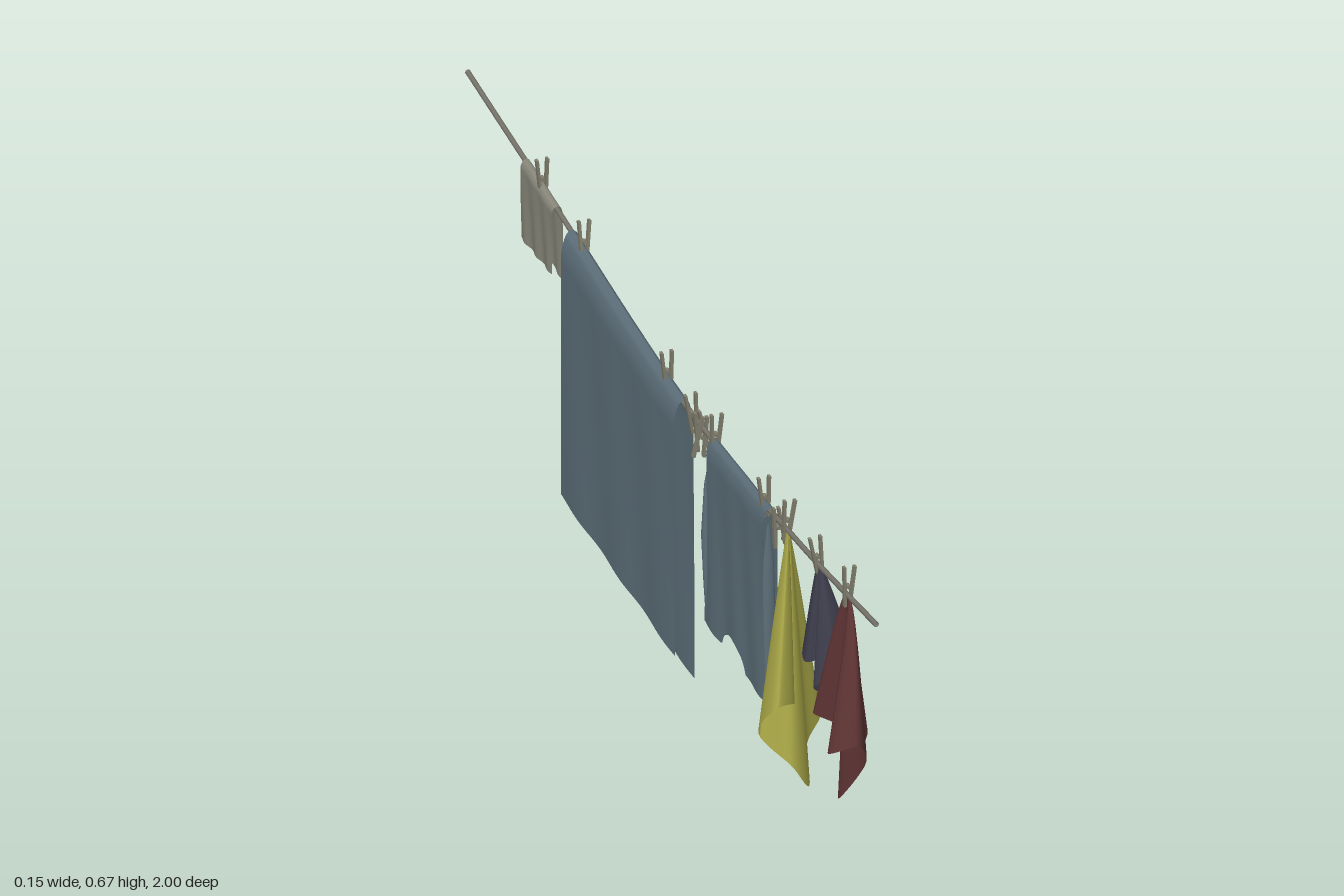
import * as THREE from 'three';

const mat = (name, color) =>
  Object.assign(new THREE.MeshStandardMaterial({ color, side: THREE.DoubleSide }), { name });

// Rope height along z
const ROPE = [[1, 0.64], [0.86, 0.622], [0.72, 0.605], [0.56, 0.59], [0.45, 0.58], [0.21, 0.57], [0.1, 0.566],
  [-0.02, 0.57], [-0.2, 0.582], [-0.43, 0.603], [-0.63, 0.62], [-1, 0.65]];
function ropeY(z) {
  for (let i = 1; i < ROPE.length; i++) {
    const [za, ya] = ROPE[i - 1], [zb, yb] = ROPE[i];
    if (z >= zb) return ya + (yb - ya) * (za - z) / (za - zb);
  }
  return 0.65;
}

// Grid surface: point(u, v) for u, v in 0..1
function surface(nu, nv, point) {
  const pos = [], idx = [];
  for (let j = 0; j <= nv; j++) {
    for (let i = 0; i <= nu; i++) pos.push(...point(i / nu, j / nv));
  }
  for (let j = 0; j < nv; j++) {
    for (let i = 0; i < nu; i++) {
      const a = j * (nu + 1) + i, b = a + nu + 1;
      idx.push(a, b, a + 1, a + 1, b, b + 1);
    }
  }
  const g = new THREE.BufferGeometry();
  g.setAttribute('position', new THREE.Float32BufferAttribute(pos, 3));
  g.setIndex(idx);
  g.computeVertexNormals();
  return g;
}

// Cloth folded over the rope: v runs up the back, over, and down the front
function foldedCloth({ z0, z1, front, back, xFront, xBack, widen = () => 0 }) {
  return surface(48, 48, (u, v) => {
    const s = v * 2 - 1, a = Math.abs(s);
    const z = z0 + (z1 - z0) * u;
    const top = ropeY(z) + 0.007;
    const bottom = s > 0 ? front(z) : back(z);
    const drop = Math.pow(a, 1.4);
    const spread = Math.min(1, Math.sqrt(a * 6)) * (s > 0 ? xFront : -xBack);
    const ripple = 0.002 * a * Math.sin(u * 17 + a * 3);
    return [spread + ripple, top + (bottom - top) * drop, z + (u - 0.5) * widen(a)];
  });
}

// Cloth hanging from one pinched point down to a wavy closed hem
function pinchedCloth(zPeg, hem, flare) {
  const curve = new THREE.CatmullRomCurve3(hem.map(p => new THREE.Vector3(...p)), true, 'centripetal');
  const top = ropeY(zPeg) + 0.003, p = new THREE.Vector3();
  return surface(72, 20, (u, v) => {
    curve.getPoint(u % 1, p);
    const kz = 0.12 + 0.88 * Math.pow(v, flare), kx = 0.05 + 0.95 * Math.pow(v, 0.9);
    return [p.x * kx, top + (p.y - top) * v, zPeg + (p.z - zPeg) * kz];
  });
}

export function createModel() {
  const model = new THREE.Group();
  const wood = mat('weathered wood', 0x807d6c);
  const rope = mat('rope', 0x76746a);
  const red = mat('dark red cloth', 0x5c3232);
  const navy = mat('navy cloth', 0x3d3d4c);
  const yellow = mat('yellow cloth', 0xa9a747);
  const blue = mat('grey blue cloth', 0x5d6f7a);
  const beige = mat('beige cloth', 0x88877a);

  const add = (name, geometry, material, parent = model) => {
    const m = new THREE.Mesh(geometry, material);
    m.name = name;
    parent.add(m);
    return m;
  };

  // Rope
  const path = new THREE.CatmullRomCurve3(ROPE.map(([z, y]) => new THREE.Vector3(0, y, z)));
  add('rope', new THREE.TubeGeometry(path, 60, 0.005, 8), rope);

  // Pinched cloths
  add('redCloth', pinchedCloth(0.86, [
    [-0.075, 0.37, 0.96], [-0.03, 0.39, 0.99], [0.0, 0.33, 0.95], [-0.03, 0.23, 0.89], [0.01, 0.28, 0.865],
    [0.05, 0.32, 0.825], [0.015, 0.345, 0.805], [-0.05, 0.37, 0.82], [-0.01, 0.36, 0.88]], 0.65), red);
  add('navyCloth', pinchedCloth(0.718, [
    [0.045, 0.455, 0.765], [0.0, 0.42, 0.795], [-0.03, 0.39, 0.77], [0.0, 0.365, 0.755], [0.008, 0.4, 0.71],
    [0.03, 0.43, 0.672], [-0.01, 0.43, 0.68], [-0.03, 0.42, 0.73], [0.0, 0.43, 0.745]], 0.75), navy);
  add('yellowCloth', pinchedCloth(0.565, [
    [0.075, 0.185, 0.53], [0.035, 0.15, 0.57], [0.01, 0.11, 0.645], [-0.03, 0.17, 0.665], [-0.075, 0.22, 0.62],
    [-0.06, 0.3, 0.675], [-0.015, 0.28, 0.64], [-0.045, 0.24, 0.585], [-0.01, 0.22, 0.535], [0.03, 0.205, 0.498]], 0.85), yellow);

  // Shirt hung by its hem, neck opening at the bottom
  const neck = z => 0.2 + 0.75 * Math.sqrt(Math.max(0, 0.052 ** 2 - (z - 0.335) ** 2));
  add('shirt', foldedCloth({
    z0: 0.485, z1: 0.2, front: neck, back: neck, xFront: 0.014, xBack: 0.014,
    widen: a => 0.02 * Math.sin(a * Math.PI) - 0.02 * a * a,
  }), blue);
  // Sleeves folded against the shirt sides
  for (const [z, r] of [[0.2, 0.022], [0.472, 0.013]]) {
    const profile = [[0.004, 0.2], [0.6, 0.21], [0.8, 0.28], [1, 0.38], [0.75, 0.48], [0.2, 0.55]]
      .map(([k, y]) => new THREE.Vector2(k * r, y));
    const sleeve = add('sleeve', new THREE.LatheGeometry(profile, 16), blue);
    sleeve.scale.z = 0.6;
    sleeve.position.z = z;
  }

  // Large sheet, longer on one side
  add('sheet', foldedCloth({
    z0: 0.062, z1: -0.488, xFront: 0.016, xBack: 0.021,
    front: z => 0.006 + (0.05 - z) * 0.044, back: z => 0.06 + (0.05 - z) * 0.03,
    widen: a => -0.02 * a * Math.max(0, a - 0.4),
  }), blue);

  // Small square cloth
  add('smallCloth', foldedCloth({
    z0: -0.56, z1: -0.712, xFront: 0.009, xBack: 0.011,
    front: z => 0.47 - (z + 0.56) * 0.06, back: z => 0.485 + (z + 0.56) * 0.06,
  }), beige);

  // Pegs: [z, height offset, lean sideways, lean along rope, hangs down]
  const pegs = [[0.86, 0, -0.06], [0.718, 0, 0.12], [0.562, 0, -0.1], [0.457, 0, 0.05], [0.212, 0, -0.05],
    [0.105, -0.012, 0.1], [-0.02, 0, 0.04], [-0.43, 0, -0.05, -0.14], [-0.632, 0, 0.03],
    [0.515, 0, 0.1, 0, 1], [0.152, 0, -0.15, 0, 1], [0.13, 0, 0.15, 0, 1]];
  const prong = new THREE.BoxGeometry(0.005, 0.08, 0.009);
  for (const [z, dy, side, along = 0, down = 0] of pegs) {
    const peg = new THREE.Group();
    peg.name = 'peg';
    for (const s of [-1, 1]) {
      const p = add('pegProng', prong, wood, peg);
      p.position.set(s * 0.007, 0.018, 0);
      p.rotation.z = -s * 0.07;
    }
    const spring = add('pegSpring', new THREE.CylinderGeometry(0.004, 0.004, 0.011, 8), wood, peg);
    spring.rotation.x = Math.PI / 2;
    spring.position.y = 0.018;
    peg.position.set(0, ropeY(z) + dy, z);
    peg.rotation.set(along, 0, side + down * Math.PI);
    model.add(peg);
  }
  return model;
}
